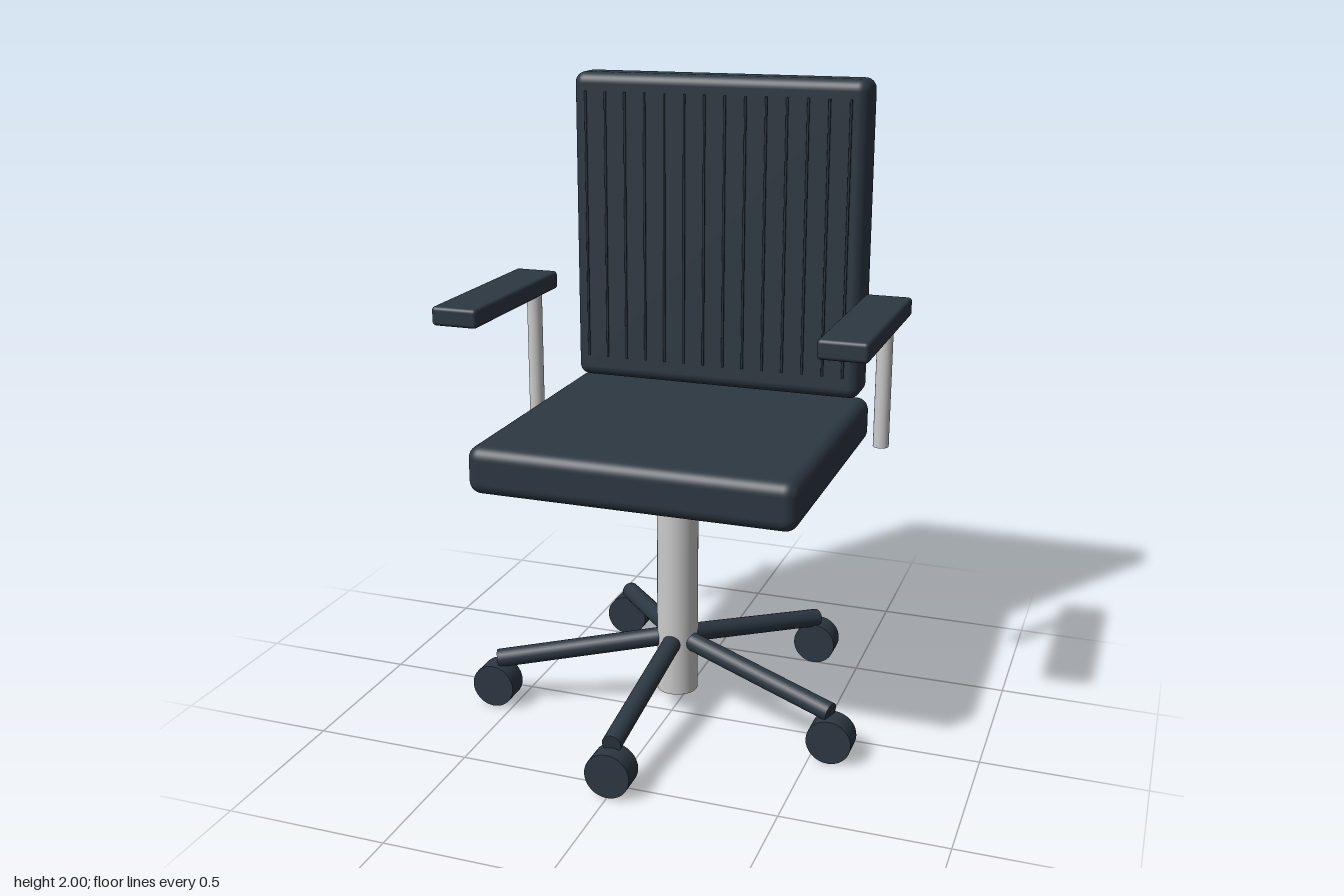
import * as THREE from 'three';
import { RoundedBoxGeometry } from 'three/addons/geometries/RoundedBoxGeometry.js';

export function createModel() {
  const chair = new THREE.Group();
  chair.name = 'officeChair';
  const dark = new THREE.MeshStandardMaterial({ color: 0x2d3842 });
  const metal = new THREE.MeshStandardMaterial({ color: 0xcccccc });

  function add(name, geometry, material, x, y, z, parent = chair) {
    const mesh = new THREE.Mesh(geometry, material);
    mesh.name = name;
    mesh.position.set(x, y, z);
    parent.add(mesh);
    return mesh;
  }

  // Cushions
  add('seat', new RoundedBoxGeometry(1.015, 0.15, 0.932, 5, 0.04), dark, 0, 0.901, -0.059);
  add('backrest', new RoundedBoxGeometry(0.976, 1.015, 0.14, 5, 0.035), dark, 0, 1.4925, -0.486);

  // Thin vertical ribs just in front of the backrest
  const ribs = new THREE.Group();
  ribs.name = 'backrestRibs';
  chair.add(ribs);
  const ribGeometry = new THREE.CylinderGeometry(0.004, 0.004, 0.88, 8);
  for (let i = 0; i < 14; i++) {
    add('rib', ribGeometry, dark, (i - 6.5) * 0.0674, 1.502, -0.402, ribs);
  }

  // Armrests on slim posts
  for (const [side, s] of [['left', 1], ['right', -1]]) {
    add(side + 'ArmPad', new RoundedBoxGeometry(0.148, 0.059, 0.61, 4, 0.012), dark, s * 0.592, 1.331, -0.028);
    add(side + 'ArmPost', new THREE.CylinderGeometry(0.025, 0.025, 0.44, 24), metal, s * 0.592, 1.1, -0.304);
  }

  // Central column
  const hubZ = -0.0565;
  add('column', new THREE.CylinderGeometry(0.066, 0.066, 0.79, 32), metal, 0, 0.458, hubZ);

  // Five sloping legs, each ending over a wheel; all wheels roll on a z axle
  const legGeometry = new THREE.CylinderGeometry(0.03, 0.03, 1, 24);
  const wheelGeometry = new THREE.CylinderGeometry(0.0705, 0.0705, 0.077, 32).rotateX(Math.PI / 2);
  const up = new THREE.Vector3(0, 1, 0);
  for (let i = 0; i < 5; i++) {
    const angle = i * Math.PI * 0.4;
    const at = (r, y) => new THREE.Vector3(Math.sin(angle) * r, y, hubZ + Math.cos(angle) * r);
    const start = at(0.048, 0.241), end = at(0.587, 0.154);
    const span = end.clone().sub(start);
    const mid = start.clone().add(end).multiplyScalar(0.5);
    const leg = add('leg', legGeometry, dark, mid.x, mid.y, mid.z);
    leg.scale.y = span.length();
    leg.quaternion.setFromUnitVectors(up, span.normalize());
    const hub = at(0.5915, 0.0705);
    add('casterWheel', wheelGeometry, dark, hub.x, hub.y, hub.z);
  }
  return chair;
}
